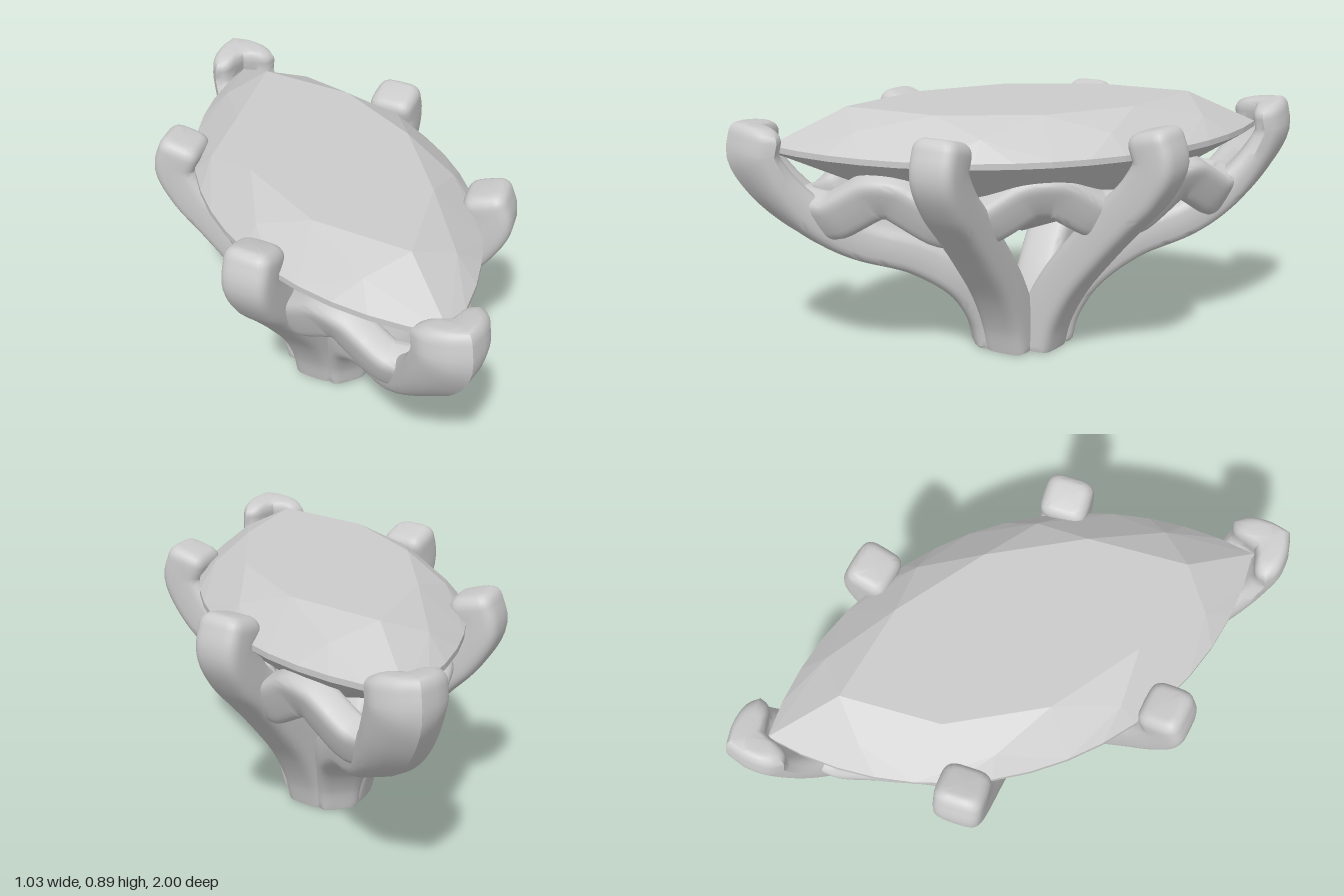
import * as THREE from 'three';
import { toCreasedNormals } from 'three/addons/utils/BufferGeometryUtils.js';
import { ConvexGeometry } from 'three/addons/geometries/ConvexGeometry.js';

const V = (x, y, z) => new THREE.Vector3(x, y, z);
const { smoothstep } = THREE.MathUtils;
const metal = new THREE.MeshStandardMaterial({ color: 0xcccccc });
const stone = new THREE.MeshStandardMaterial({ color: 0xcccccc, flatShading: true });

const SIDES = 28;

// Rounded-rectangle section, folded into a chevron as fold goes from 0 to 1
function section(halfA, halfB, fold = 0) {
  const soft = (v) => Math.sign(v) * Math.abs(v) ** 0.5;
  return Array.from({ length: SIDES }, (_, j) => {
    const q = (j / SIDES) * Math.PI * 2;
    const b = soft(Math.sin(q));
    const a = halfA * soft(Math.cos(q)) * (1 + 0.35 * fold * Math.min(b, 0));
    return [a, halfB * b - 0.85 * fold * (Math.hypot(a, 0.02) - 0.02)];
  });
}

// Skin a list of frames { p, s, n, pts }; closed loops join, open ones get caps
function skin(frames, closed) {
  const pos = [], index = [], count = frames.length;
  for (const { p, s, n, pts } of frames) {
    for (const [a, b] of pts) {
      const v = p.clone().addScaledVector(s, a).addScaledVector(n, b);
      pos.push(v.x, v.y, v.z);
    }
  }
  for (let i = 0; i < (closed ? count : count - 1); i++) {
    for (let j = 0; j < SIDES; j++) {
      const k = (j + 1) % SIDES, r0 = i * SIDES, r1 = ((i + 1) % count) * SIDES;
      index.push(r0 + j, r0 + k, r1 + k, r0 + j, r1 + k, r1 + j);
    }
  }
  if (!closed) {
    [0, count - 1].forEach((i, end) => {
      const c = pos.length / 3, { p } = frames[i];
      pos.push(p.x, p.y, p.z);
      for (let j = 0; j < SIDES; j++) {
        const a = i * SIDES + j, b = i * SIDES + (j + 1) % SIDES;
        if (end) index.push(c, a, b); else index.push(c, b, a);
      }
    });
  }
  const g = new THREE.BufferGeometry();
  g.setAttribute('position', new THREE.Float32BufferAttribute(pos, 3));
  g.setIndex(index);
  return toCreasedNormals(g, 0.75);
}

// Prong: a bar rising in the vertical plane at the given angle, with a rounded tip
function prong(name, angle, path, shape) {
  const u = V(Math.cos(angle), 0, Math.sin(angle)), up = V(0, 1, 0);
  const curve = new THREE.CatmullRomCurve3(path.map(([r, y]) => V(u.x * r, y, u.z * r)));
  const frames = [], steps = 56;
  const add = (t, rise, scale) => {
    const T = t === 0 ? up : curve.getTangentAt(t);
    const n = u.clone().multiplyScalar(T.y).addScaledVector(up, -T.dot(u));
    const p = curve.getPointAt(t).addScaledVector(T, rise);
    const pts = shape(t).map(([a, b]) => [a * scale, b * scale]);
    frames.push({ p, s: n.clone().cross(T), n, pts });
  };
  add(0, 0, 0.96);
  for (let i = 0; i <= steps; i++) add(i / steps, i ? 0 : 0.01, 1);
  for (let i = 1; i <= 6; i++) {
    const q = (i / 6) * Math.PI / 2;
    add(1, 0.042 * Math.sin(q), 1 - 0.45 * (1 - Math.cos(q)));
  }
  const mesh = new THREE.Mesh(skin(frames, false), metal);
  mesh.name = name;
  return mesh;
}

// Zigzag gallery rail: low at each prong, high between them
function galleryRail() {
  const quarter = [[0.29, 0.62, 0.05], [0.275, 0.54, 0.19], [0.265, 0.54, 0.33],
    [0.215, 0.622, 0.47], [0.18, 0.622, 0.54], [0.1, 0.54, 0.66]];
  const back = [...quarter].reverse();
  const at = (list, sx, sz) => list.map(([x, y, z]) => V(x * sx, y, z * sz));
  const loop = [...at(quarter, 1, 1), V(0, 0.54, 0.74), ...at(back, -1, 1),
    ...at(quarter, -1, -1), V(0, 0.54, -0.74), ...at(back, 1, -1)];
  const curve = new THREE.CatmullRomCurve3(loop, true, 'catmullrom', 0.3);
  const frames = [], steps = 192, up = V(0, 1, 0);
  for (let i = 0; i < steps; i++) {
    const T = curve.getTangentAt(i / steps);
    const n = up.clone().cross(T).normalize().addScaledVector(up, -0.45);
    n.addScaledVector(T, -n.dot(T)).normalize();
    frames.push({ p: curve.getPointAt(i / steps), n, s: n.clone().cross(T), pts: section(0.078, 0.056) });
  }
  const mesh = new THREE.Mesh(skin(frames, true), metal);
  mesh.name = 'galleryRail';
  return mesh;
}

// Marquise stone: hull of girdle, crown, table and pavilion rings
function gem() {
  const L = 0.86, W = 0.43, R = (L * L + W * W) / (2 * W), sweep = Math.asin(L / R);
  const pts = [];
  const ring = (perSide, y, sx, sz, shift = 0) => {
    for (const side of [1, -1]) {
      for (let i = 0; i <= perSide - (shift ? 1 : 0); i++) {
        const q = sweep * (2 * (i + shift) / perSide - 1);
        pts.push(V(side * (R * Math.cos(q) - R + W) * sx, y, R * Math.sin(q) * sz));
      }
    }
  };
  ring(16, 0.745, 1, 1);
  ring(16, 0.765, 1, 1);
  ring(4, 0.83, 0.87, 0.87, 0.5);
  ring(4, 0.885, 0.66, 0.7);
  ring(4, 0.575, 0.6, 0.6, 0.5);
  ring(4, 0.47, 0.28, 0.28);
  pts.push(V(0, 0.41, 0));
  const mesh = new THREE.Mesh(new ConvexGeometry(pts), stone);
  mesh.name = 'gem';
  return mesh;
}

export function createModel() {
  const model = new THREE.Group();
  model.name = 'gemSetting';
  model.add(gem(), galleryRail());

  // Four side prongs, hooked inward over the girdle
  const sidePath = [[0.075, 0], [0.11, 0.12], [0.185, 0.26], [0.31, 0.42], [0.415, 0.54],
    [0.505, 0.64], [0.554, 0.74], [0.535, 0.807]];
  const sideShape = () => section(0.082, 0.076);
  const spread = 0.708;
  [['frontLeft', spread], ['frontRight', Math.PI - spread],
    ['backRight', Math.PI + spread], ['backLeft', -spread]].forEach(([where, angle]) =>
    model.add(prong(where + 'Prong', angle, sidePath, sideShape)));

  // Two end prongs that widen and fold into a V around the stone's points
  const endPath = [[0.105, 0], [0.135, 0.12], [0.22, 0.255], [0.38, 0.365], [0.58, 0.435],
    [0.76, 0.53], [0.88, 0.64], [0.935, 0.74], [0.925, 0.805]];
  const endShape = (t) => {
    const half = 0.074 + 0.03 * smoothstep(t, 0, 0.3) + 0.016 * smoothstep(t, 0.5, 0.85);
    return section(half, 0.072 - 0.007 * smoothstep(t, 0.6, 0.9), smoothstep(t, 0.55, 0.95));
  };
  model.add(prong('frontProng', Math.PI / 2, endPath, endShape));
  model.add(prong('backProng', -Math.PI / 2, endPath, endShape));
  return model;
}
